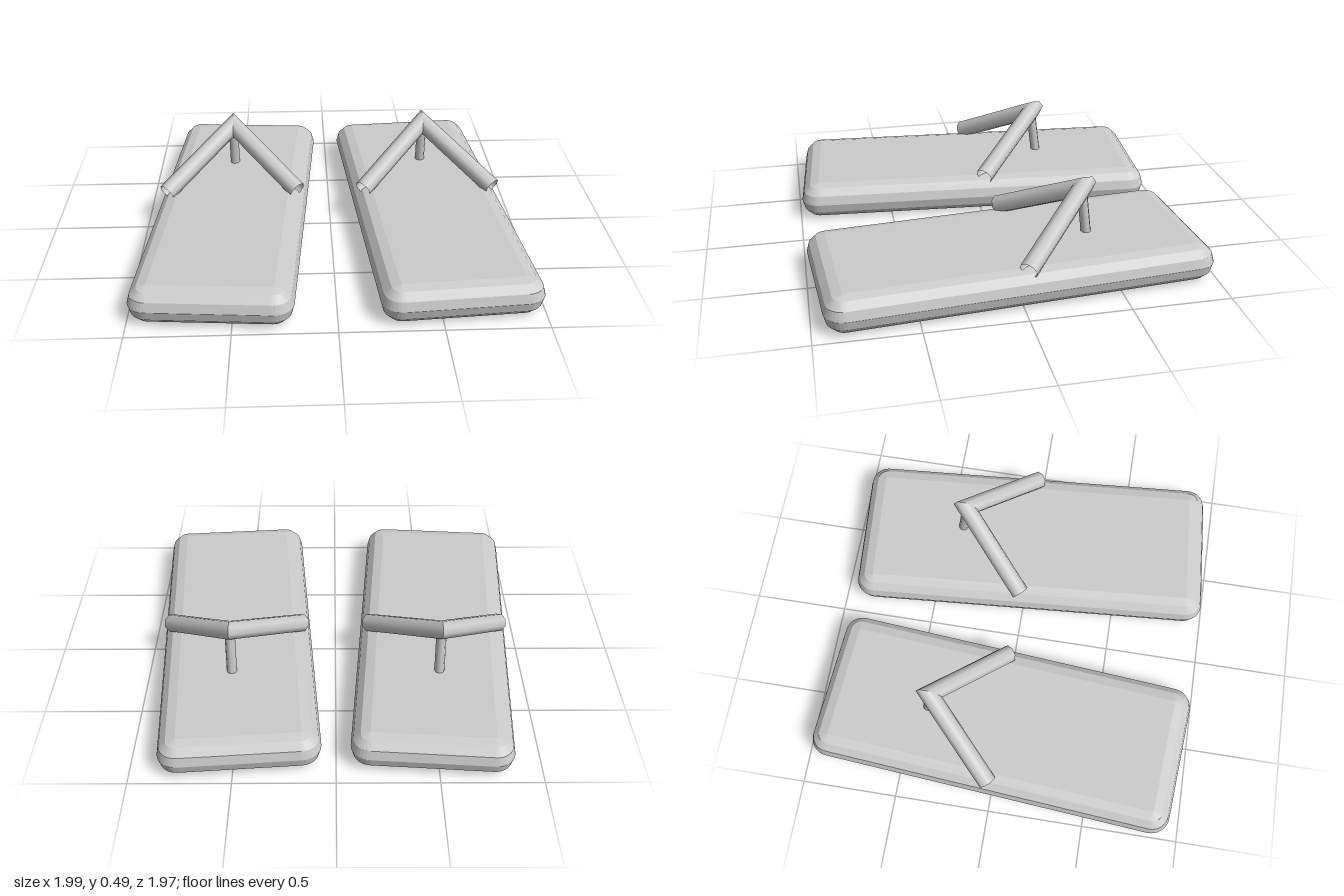
import * as THREE from 'three';

const flatGrey = new THREE.MeshStandardMaterial({ color: 0xcccccc, flatShading: true });
const strapGrey = new THREE.MeshStandardMaterial({ color: 0xcccccc, side: THREE.DoubleSide });

// Flat sole with rounded plan corners and a half-round edge
function soleGeometry(halfW, halfL, height) {
  const r = height / 2, c = r + 0.005;
  const s = new THREE.Shape();
  s.moveTo(halfW, -halfL + c);
  s.lineTo(halfW, halfL - c);
  s.absarc(halfW - c, halfL - c, c, 0, Math.PI / 2);
  s.absarc(-halfW + c, halfL - c, c, Math.PI / 2, Math.PI);
  s.absarc(-halfW + c, -halfL + c, c, Math.PI, Math.PI * 1.5);
  s.absarc(halfW - c, -halfL + c, c, Math.PI * 1.5, Math.PI * 2);
  const g = new THREE.ExtrudeGeometry(s, {
    depth: 0.001, curveSegments: 4, bevelEnabled: true,
    bevelThickness: r, bevelSize: r, bevelOffset: -r, bevelSegments: 3,
  });
  return g.rotateX(-Math.PI / 2);
}

// Open rod between two points
function rodGeometry(a, b, radius) {
  const dir = b.clone().sub(a);
  const g = new THREE.CylinderGeometry(radius, radius, dir.length(), 8, 1, true);
  g.applyQuaternion(new THREE.Quaternion().setFromUnitVectors(new THREE.Vector3(0, 1, 0), dir.clone().normalize()));
  const mid = a.clone().add(b).multiplyScalar(0.5);
  return g.translate(mid.x, mid.y, mid.z);
}

// Half of the V strap: its top ring slides along the axis onto x = 0 for a mitred joint
function strapGeometry(side) {
  const foot = new THREE.Vector3(side * 0.353, 0.21, -0.018);
  const apex = new THREE.Vector3(0, 0.442, -0.372);
  const g = rodGeometry(foot, apex, 0.048);
  const d = apex.clone().sub(foot).normalize();
  const p = g.attributes.position, v = new THREE.Vector3();
  for (let i = 0; i < p.count; i++) {
    v.fromBufferAttribute(p, i);
    if (Math.abs(v.x) < 0.17) {
      v.addScaledVector(d, -v.x / d.x);
      p.setXYZ(i, v.x, v.y, v.z);
    }
  }
  return g;
}

function addMesh(parent, name, geometry, material) {
  const m = new THREE.Mesh(geometry, material);
  m.name = name;
  parent.add(m);
  return m;
}

export function createModel() {
  const group = new THREE.Group();
  group.name = 'sandals';
  for (const side of [1, -1]) {
    const sandal = new THREE.Group();
    sandal.name = side > 0 ? 'leftSandal' : 'rightSandal';
    sandal.position.x = side * 0.532;

    // Sole, toed slightly inward at the back
    const sole = addMesh(sandal, 'sole', soleGeometry(0.396, 0.967, 0.189), flatGrey);
    sole.position.y = 0.103;
    sole.rotation.y = side * 0.076;

    // V strap and toe post
    addMesh(sandal, 'strapLeft', strapGeometry(1), strapGrey);
    addMesh(sandal, 'strapRight', strapGeometry(-1), strapGrey);
    addMesh(sandal, 'toePost', rodGeometry(
      new THREE.Vector3(0, 0.18, -0.4), new THREE.Vector3(0, 0.42, -0.37), 0.026), strapGrey);
    group.add(sandal);
  }
  return group;
}
